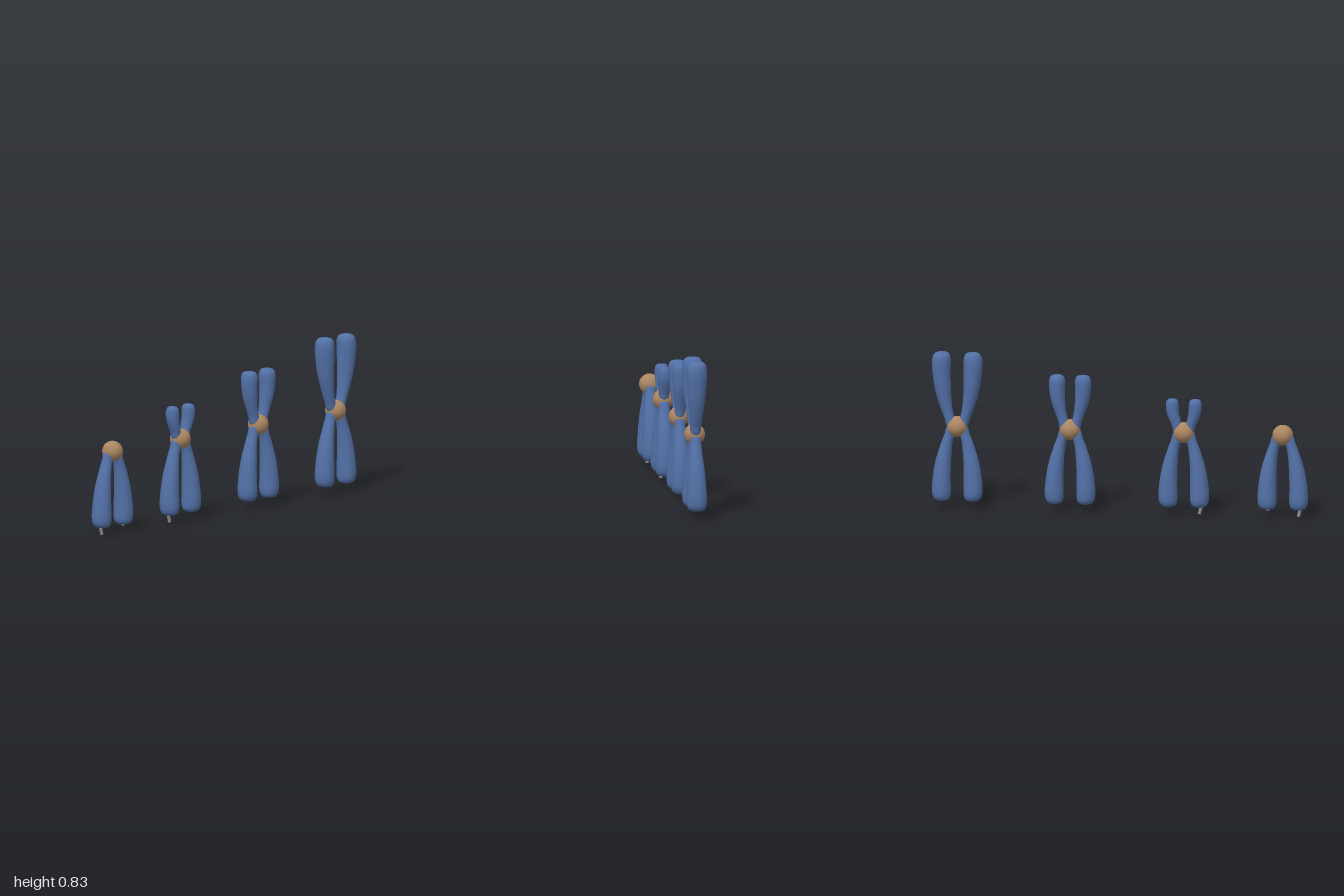
import * as THREE from 'three';

// Arm stations: [distance along arm, sideways offset, radius]
const LONG = [
  [-0.004, 0.033, 0.001], [-0.002, 0.033, 0.013], [0.008, 0.034, 0.024], [0.04, 0.04, 0.027],
  [0.085, 0.054, 0.03], [0.185, 0.074, 0.041], [0.285, 0.083, 0.048], [0.345, 0.084, 0.05],
  [0.375, 0.083, 0.046], [0.39, 0.082, 0.037], [0.397, 0.082, 0.022], [0.399, 0.082, 0.001],
];
const MEDIUM = [
  [-0.004, 0.03, 0.001], [-0.002, 0.03, 0.013], [0.008, 0.031, 0.024], [0.04, 0.035, 0.027],
  [0.08, 0.047, 0.029], [0.15, 0.063, 0.037], [0.21, 0.069, 0.041], [0.255, 0.069, 0.043],
  [0.277, 0.069, 0.038], [0.287, 0.069, 0.03], [0.291, 0.069, 0.018], [0.293, 0.069, 0.001],
];
const SHORT = [
  [-0.004, 0.03, 0.001], [-0.002, 0.03, 0.013], [0.008, 0.031, 0.024], [0.035, 0.036, 0.027],
  [0.07, 0.048, 0.03], [0.11, 0.059, 0.033], [0.145, 0.061, 0.034],
  [0.165, 0.061, 0.031], [0.175, 0.061, 0.024], [0.179, 0.061, 0.014], [0.18, 0.061, 0.001],
];

// Smooth bulging arm lofted from rings, hanging down and leaning to +z
function armGeometry(stations) {
  const sides = 28, rings = 44;
  const curve = new THREE.CatmullRomCurve3(stations.map(s => new THREE.Vector3(...s)), false, 'centripetal');
  const pos = [], idx = [];
  for (let i = 0; i <= rings; i++) {
    const p = curve.getPoint(i / rings);
    const r = Math.max(p.z, 0.0005);
    for (let j = 0; j < sides; j++) {
      const a = (j / sides) * Math.PI * 2;
      pos.push(Math.cos(a) * r * 1.08, -p.x, p.y + Math.sin(a) * r);
      if (i < rings) {
        const k = i * sides, n = (j + 1) % sides;
        idx.push(k + j, k + n, k + sides + j, k + n, k + sides + n, k + sides + j);
      }
    }
  }
  // Close both ends
  const last = rings * sides;
  for (let j = 1; j < sides - 1; j++) {
    idx.push(0, j + 1, j, last, last + j, last + j + 1);
  }
  const g = new THREE.BufferGeometry();
  g.setAttribute('position', new THREE.Float32BufferAttribute(pos, 3));
  g.setIndex(idx);
  g.computeVertexNormals();
  return g;
}

export function createModel() {
  const model = new THREE.Group();
  model.name = 'chromosomeSeries';
  const blue = new THREE.MeshStandardMaterial({ color: 0x5270a6 });
  blue.name = 'armBlue';
  const tan = new THREE.MeshStandardMaterial({ color: 0xab8562 });
  tan.name = 'centromereTan';
  const grey = new THREE.MeshStandardMaterial({ color: 0x8c8c8c });
  grey.name = 'tipGrey';

  const longArm = armGeometry(LONG);
  const mediumArm = armGeometry(MEDIUM);
  const shortArm = armGeometry(SHORT);
  const ball = new THREE.SphereGeometry(0.055, 32, 20);

  const add = (parent, name, geometry, material) => {
    const mesh = new THREE.Mesh(geometry, material);
    mesh.name = name;
    parent.add(mesh);
    return mesh;
  };

  // Thin stub between two points in the x = 0 plane
  const addStub = (parent, y0, z0, y1, z1) => {
    const a = new THREE.Vector3(0, y0, z0), b = new THREE.Vector3(0, y1, z1);
    const stub = add(parent, 'tipStub', new THREE.CylinderGeometry(0.009, 0.009, a.distanceTo(b), 12), grey);
    stub.position.copy(a).add(b).multiplyScalar(0.5);
    stub.quaternion.setFromUnitVectors(new THREE.Vector3(0, 1, 0), a.sub(b).normalize());
  };

  // Four chromosomes, front to back, with growing upper arms
  const series = [[0.866, null], [0.34, shortArm], [-0.264, mediumArm], [-0.863, longArm]];
  series.forEach(([z, upper], i) => {
    const c = new THREE.Group();
    c.name = 'chromosome' + (i + 1);
    c.position.set(0, 0.436, z);
    add(c, 'centromere', ball, tan);
    for (const turn of [0, Math.PI]) {
      add(c, 'lowerArm', longArm, blue).rotation.y = turn;
      if (upper) add(c, 'upperArm', upper, blue).rotation.set(Math.PI, turn, 0);
    }
    // Grey stubs below the two front chromosomes
    if (i < 2) addStub(c, -0.38, 0.097, -0.433, 0.083);
    if (i === 0) addStub(c, -0.38, -0.079, -0.405, -0.081);
    model.add(c);
  });
  return model;
}
